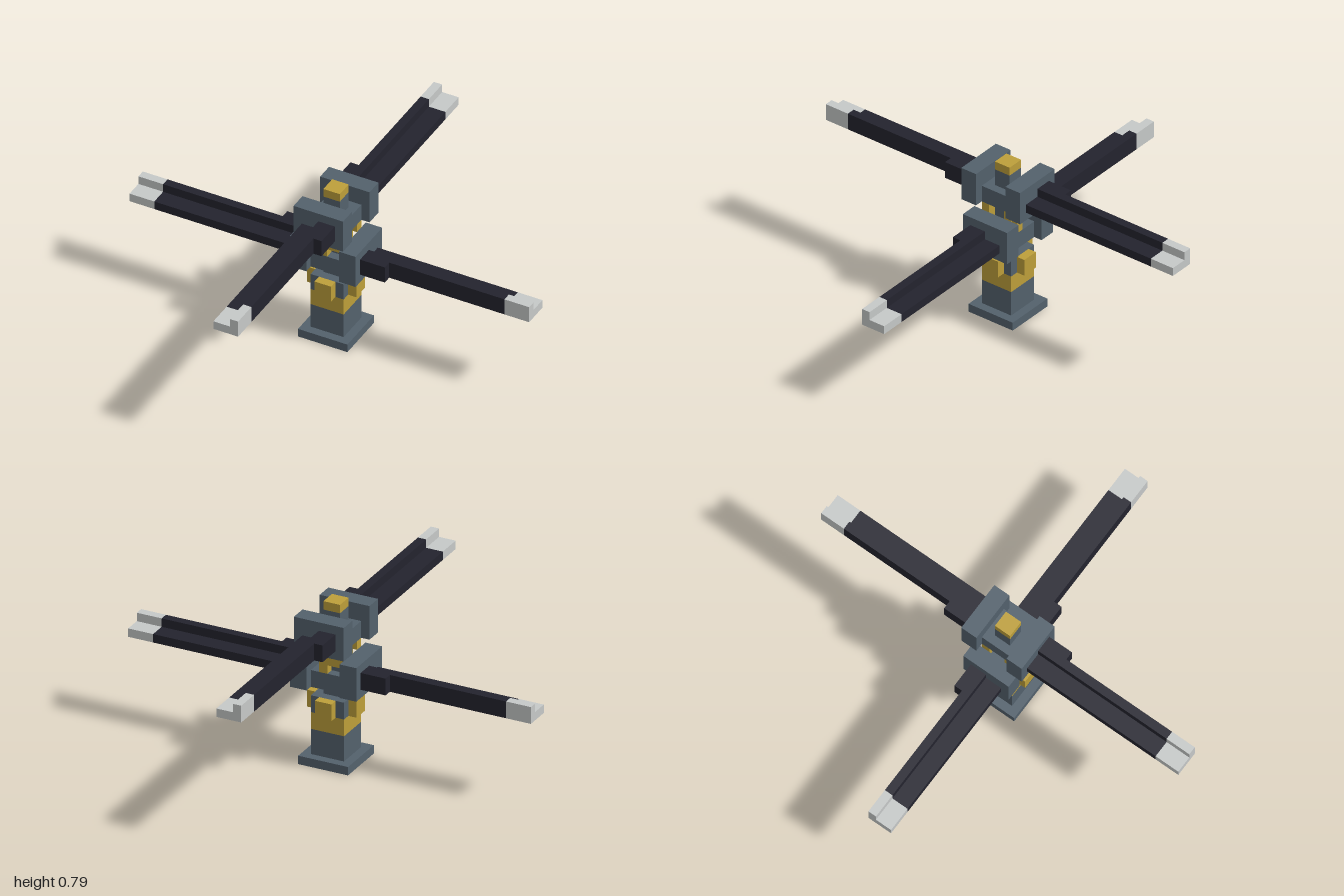
import * as THREE from 'three';

const U = 1 / 24; // one block

const mat = (name, color) => {
  const m = new THREE.MeshStandardMaterial({ color });
  m.name = name;
  return m;
};

export function createModel() {
  const slate = mat('slate', 0x53616c);
  const gold = mat('gold', 0xbd9f3a);
  const dark = mat('dark blade', 0x23232e);
  const pale = mat('pale tip', 0xc6c9c8);
  const model = new THREE.Group();
  model.name = 'rotorTower';

  // Box from min to max corner in blocks
  function box(parent, name, material, [x0, y0, z0], [x1, y1, z1]) {
    const g = new THREE.BoxGeometry((x1 - x0) * U, (y1 - y0) * U, (z1 - z0) * U);
    const mesh = new THREE.Mesh(g, material);
    mesh.name = name;
    mesh.position.set((x0 + x1) / 2 * U, (y0 + y1) / 2 * U, (z0 + z1) / 2 * U);
    parent.add(mesh);
  }
  // Box that may run along x (z and x swapped) and be turned half way round
  function oriented(parent, name, material, alongX, sign, a, b) {
    const map = ([x, y, z]) => alongX ? [sign * z, y, sign * x] : [sign * x, y, sign * z];
    const p = map(a), q = map(b);
    box(parent, name, material, p.map((v, i) => Math.min(v, q[i])), p.map((v, i) => Math.max(v, q[i])));
  }

  // Pedestal
  box(model, 'foot', slate, [-3, 0, -3], [3, 1, 3]);
  box(model, 'pedestal', slate, [-2, 1, -2], [2, 4, 2]);
  box(model, 'goldBand', gold, [-2, 4, -2], [2, 6, 2]);
  box(model, 'collarCore', slate, [-2, 6, -2], [2, 8, 2]);
  for (const alongX of [false, true]) for (const s of [1, -1]) {
    oriented(model, 'collarBlock', gold, alongX, s, [-1, 6, 2], [1, 8, 3]);
  }

  // Central shaft and cap
  box(model, 'shaft', slate, [-1, 8, -1], [1, 18, 1]);
  box(model, 'cap', gold, [-1, 18, -1], [1, 19, 1]);

  // Gold fittings on the shaft between the hubs
  for (const s of [1, -1]) {
    oriented(model, 'fittingBar', gold, false, s, [-1, 11, 1], [0, 14, 2]);
    oriented(model, 'fittingCorner', gold, false, s, [-2, 13, 1], [-1, 14, 2]);
    oriented(model, 'fittingArm', gold, false, s, [0, 12, 1], [2, 13, 2]);
    oriented(model, 'fittingCorner', gold, false, s, [1, 13, 1], [2, 14, 2]);
  }

  // Two hubs, each a U-shaped bracket with a pair of L-section blades
  for (const [name, y, alongX] of [['lowerRotor', 9, true], ['upperRotor', 14, false]]) {
    const rotor = new THREE.Group();
    rotor.name = name;
    model.add(rotor);
    box(rotor, 'hubBase', slate, [-2, y, -2], [2, y + 2, 2]);
    for (const s of [1, -1]) {
      const part = (n, m, a, b) => oriented(rotor, n, m, alongX, s, a, b);
      part('hubPlate', slate, [-3, y, 2], [3, y + 4, 4]);
      part('bladeRoot', dark, [1, y + 1, 4], [2, y + 3, 7]);
      for (const [n, m, z0, z1] of [['blade', dark, 4, 21], ['bladeTip', pale, 21, 24]]) {
        part(n + 'Flat', m, [-2, y + 1, z0], [1, y + 2, z1]);
        part(n + 'Rib', m, [0, y + 2, z0], [1, y + 3, z1]);
      }
    }
  }
  return model;
}
